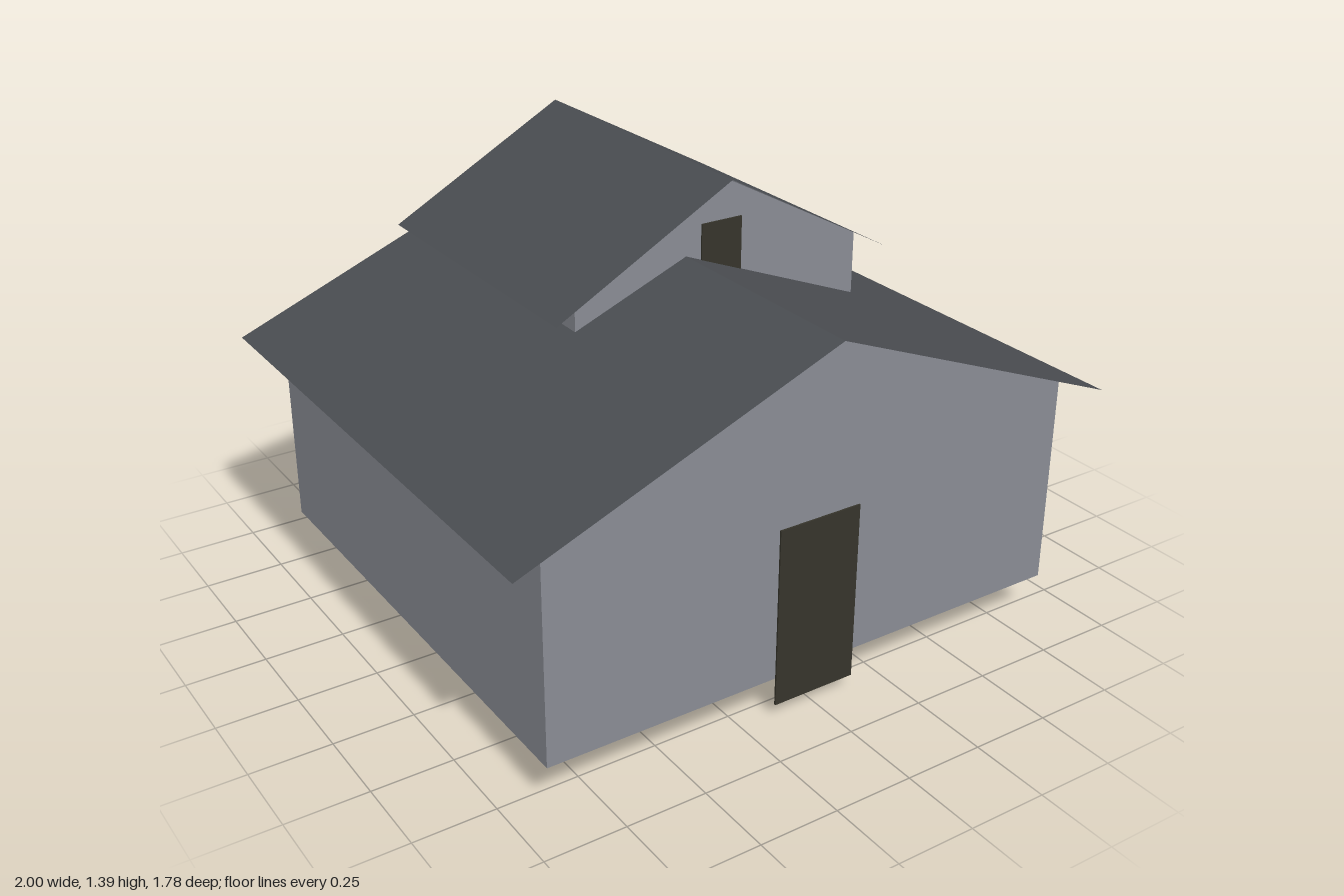
import * as THREE from 'three';

function material(name, color) {
  const m = new THREE.MeshStandardMaterial({ color, side: THREE.DoubleSide });
  m.name = name;
  return m;
}

function addMesh(parent, name, geometry, mat, x = 0, y = 0, z = 0, turn = 0) {
  const mesh = new THREE.Mesh(geometry, mat);
  mesh.name = name;
  mesh.position.set(x, y, z);
  mesh.rotation.y = turn;
  parent.add(mesh);
  return mesh;
}

// Open-bottomed gabled shell with a thin folded roof, centred on its ridge
function gabledBlock(name, s, wallMat, roofMat) {
  const block = new THREE.Group();
  block.name = name;
  block.position.set(s.x, 0, s.z);

  // Five-sided end walls
  const w = s.halfWidth;
  const gable = new THREE.ShapeGeometry(new THREE.Shape([
    new THREE.Vector2(-w, s.base), new THREE.Vector2(w, s.base),
    new THREE.Vector2(w, s.wallTop), new THREE.Vector2(0, s.gableTop),
    new THREE.Vector2(-w, s.wallTop),
  ]));
  addMesh(block, 'frontGableWall', gable, wallMat, 0, 0, s.depth / 2);
  addMesh(block, 'backGableWall', gable, wallMat, 0, 0, -s.depth / 2, Math.PI);

  // Side walls
  const side = new THREE.PlaneGeometry(s.depth, s.wallTop - s.base);
  const midY = (s.wallTop + s.base) / 2;
  addMesh(block, 'leftWall', side, wallMat, w, midY, 0, Math.PI / 2);
  addMesh(block, 'rightWall', side, wallMat, -w, midY, 0, -Math.PI / 2);

  // Roof sheet folded along the ridge
  let roof = new THREE.PlaneGeometry(s.roofHalf * 2, s.roofDepth, 2, 1).rotateX(-Math.PI / 2);
  const p = roof.attributes.position;
  for (let i = 0; i < p.count; i++) {
    const t = Math.abs(p.getX(i)) / s.roofHalf;
    p.setY(i, s.ridge + (s.eave - s.ridge) * t);
  }
  roof = roof.toNonIndexed();
  roof.computeVertexNormals();
  addMesh(block, 'roof', roof, roofMat);
  return block;
}

export function createModel() {
  const model = new THREE.Group();
  model.name = 'house';
  const wallMat = material('greyWall', 0x898c94);
  const roofMat = material('darkRoof', 0x4a4d51);
  const openingMat = material('darkOpening', 0x36342b);

  const main = gabledBlock('mainHouse', {
    x: 0, z: 0, halfWidth: 0.885, depth: 1.645, base: 0.13, wallTop: 0.81, gableTop: 1.161,
    roofHalf: 1, roofDepth: 1.78, ridge: 1.165, eave: 0.767,
  }, wallMat, roofMat);

  // Taller block that passes through the main house
  const upper = gabledBlock('upperHouse', {
    x: 0.125, z: -0.304, halfWidth: 0.505, depth: 0.912, base: 0, wallTop: 1.115, gableTop: 1.386,
    roofHalf: 0.595, roofDepth: 1.016, ridge: 1.39, eave: 1.067,
  }, wallMat, roofMat);
  model.add(main, upper);

  // Door and windows as thin plates
  const thin = 0.006;
  addMesh(model, 'frontDoor', new THREE.BoxGeometry(0.276, 0.57, thin), openingMat, -0.002, 0.327, 0.825);
  addMesh(model, 'sideWindow', new THREE.BoxGeometry(thin, 0.18, 0.142), openingMat, 0.887, 0.508, 0);
  addMesh(model, 'upperWindow', new THREE.BoxGeometry(0.142, 0.25, thin), openingMat, 0.124, 1.13, 0.154);

  return model;
}
